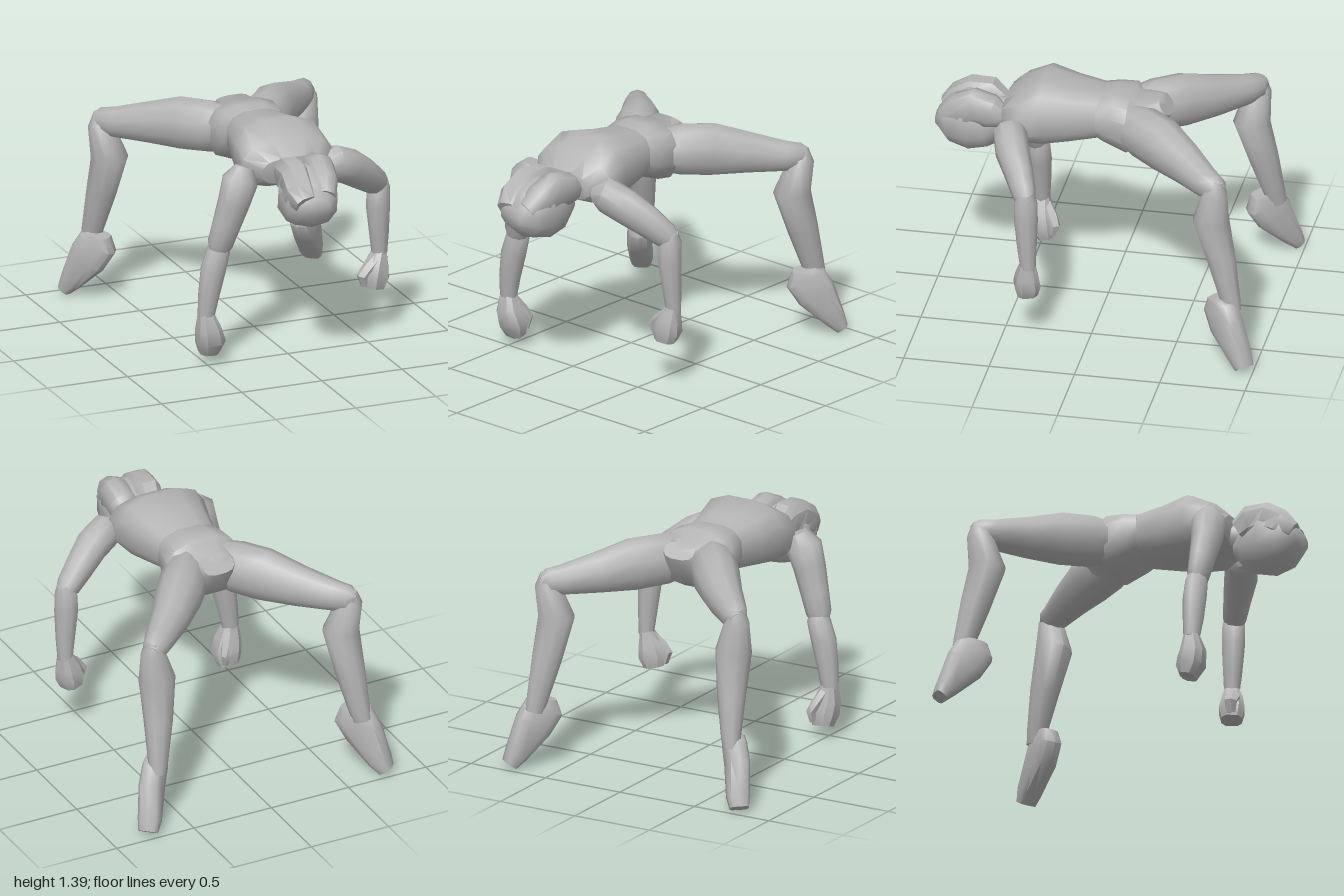
import * as THREE from 'three';
import { toCreasedNormals } from 'three/addons/utils/BufferGeometryUtils.js';

const clay = new THREE.MeshStandardMaterial({ color: 0xb4b4b4 });
clay.name = 'clay grey';

// Skin rings along a path. Each section is [x, y, z, halfWidth, halfDepth];
// side is the width direction, power below 1 makes the rings boxier.
function loft(name, sections, { side = [1, 0, 0], power = 1, sides = 10, crease = 0.95 } = {}) {
  const centres = sections.map(s => new THREE.Vector3(s[0], s[1], s[2]));
  const pos = [], index = [], last = sections.length - 1;
  const bend = v => Math.sign(v) * Math.pow(Math.abs(v), power);
  sections.forEach(([, , , w, d], i) => {
    const t = centres[Math.min(i + 1, last)].clone().sub(centres[Math.max(i - 1, 0)]).normalize();
    const a = new THREE.Vector3(...side);
    a.addScaledVector(t, -a.dot(t)).normalize();
    const b = t.clone().cross(a);
    for (let j = 0; j < sides; j++) {
      const q = (j + 0.5) / sides * Math.PI * 2;
      const p = centres[i].clone()
        .addScaledVector(a, w * bend(Math.cos(q)))
        .addScaledVector(b, d * bend(Math.sin(q)));
      pos.push(p.x, p.y, p.z);
    }
  });
  const start = pos.length / 3;
  pos.push(...centres[0].toArray(), ...centres[last].toArray());
  for (let j = 0; j < sides; j++) {
    const k = (j + 1) % sides, e = last * sides;
    for (let i = 0; i < last; i++) {
      const r = i * sides, n = r + sides;
      index.push(r + j, r + k, n + j, r + k, n + k, n + j);
    }
    index.push(start, k, j, start + 1, e + j, e + k);
  }
  const g = new THREE.BufferGeometry();
  g.setAttribute('position', new THREE.Float32BufferAttribute(pos, 3));
  g.setIndex(index);
  const mesh = new THREE.Mesh(toCreasedNormals(g, crease), clay);
  mesh.name = name;
  return mesh;
}

function leg(name, s) {
  const group = new THREE.Group();
  group.name = name;
  const m = list => list.map(([x, ...rest]) => [x * s, ...rest]);
  const side = [0.77 * s, 0, 0.64];
  group.add(
    loft('thigh', m([
      [0.1, 1.18, -0.14, 0.11, 0.13], [0.17, 1.175, -0.24, 0.14, 0.155],
      [0.28, 1.165, -0.38, 0.135, 0.16], [0.42, 1.135, -0.54, 0.112, 0.125],
      [0.57, 1.108, -0.69, 0.085, 0.092], [0.63, 1.105, -0.755, 0.07, 0.08],
      [0.66, 1.1, -0.79, 0.035, 0.045]]), { side }),
    loft('shin', m([
      [0.645, 1.16, -0.77, 0.028, 0.025], [0.64, 1.09, -0.755, 0.07, 0.073],
      [0.595, 0.89, -0.72, 0.107, 0.11], [0.62, 0.65, -0.785, 0.085, 0.09],
      [0.652, 0.4, -0.845, 0.057, 0.064], [0.66, 0.34, -0.86, 0.045, 0.055]]), { side }),
    loft('foot', m([
      [0.635, 0.405, -0.775, 0.055, 0.065], [0.64, 0.35, -0.785, 0.068, 0.12],
      [0.685, 0.25, -0.83, 0.07, 0.118], [0.745, 0.09, -0.92, 0.068, 0.065],
      [0.772, 0.03, -0.95, 0.056, 0.04]]), { side, power: 0.65 }));
  return group;
}

function arm(name, { upper, fore, palm, thumb, side }) {
  const group = new THREE.Group();
  group.name = name;
  group.add(
    loft('upperArm', upper, { side }),
    loft('forearm', fore, { side }),
    loft('palm', palm, { side, power: 0.7, sides: 8, crease: 0.7 }),
    loft('thumb', thumb, { side, sides: 6, crease: 0.7 }));
  return group;
}

export function createModel() {
  const model = new THREE.Group();
  model.name = 'bendingFigure';

  // Trunk
  model.add(
    loft('chest', [
      [0, 1.205, -0.03, 0.17, 0.12], [0, 1.205, 0.04, 0.19, 0.14],
      [0, 1.2, 0.2, 0.23, 0.167], [0, 1.21, 0.35, 0.275, 0.195],
      [0, 1.175, 0.48, 0.285, 0.155], [0, 1.16, 0.585, 0.2, 0.085]],
    { power: 0.75, sides: 12 }),
    loft('hips', [
      [0, 1.215, 0.05, 0.19, 0.13], [0, 1.205, -0.02, 0.21, 0.155],
      [0, 1.175, -0.14, 0.235, 0.18], [0, 1.2, -0.24, 0.17, 0.14],
      [0, 1.28, -0.34, 0.1, 0.055]], { power: 0.75, sides: 12 }));

  // Hanging head, with the cheek masses parted by a shallow cleft
  model.add(
    loft('neck', [
      [0, 1.16, 0.5, 0.1, 0.08], [0.01, 1.14, 0.6, 0.095, 0.085],
      [0.02, 1.12, 0.7, 0.09, 0.09]]),
    loft('skull', [
      [0.04, 1.11, 0.61, 0.09, 0.09], [0.02, 1.085, 0.69, 0.145, 0.16],
      [-0.01, 1.075, 0.8, 0.175, 0.187], [-0.025, 1.06, 0.92, 0.155, 0.14],
      [-0.035, 1.06, 0.995, 0.09, 0.055]], { power: 0.85 }),
    loft('leftCheek', [
      [0.09, 1.14, 0.6, 0.06, 0.06], [0.095, 1.175, 0.67, 0.085, 0.1],
      [0.088, 1.195, 0.76, 0.085, 0.11], [0.07, 1.15, 0.85, 0.085, 0.11],
      [0.04, 1.09, 0.93, 0.07, 0.08]], { power: 0.85 }),
    loft('rightCheek', [
      [-0.07, 1.14, 0.64, 0.07, 0.08], [-0.08, 1.18, 0.71, 0.085, 0.11],
      [-0.085, 1.18, 0.8, 0.09, 0.11], [-0.095, 1.13, 0.89, 0.09, 0.1],
      [-0.08, 1.085, 0.965, 0.07, 0.06]], { power: 0.75, sides: 8, crease: 0.7 }));

  // Left arm bent outward, right arm hanging
  model.add(
    arm('leftArm', {
      side: [0.35, 0, 1],
      upper: [[0.21, 1.13, 0.53, 0.06, 0.065], [0.28, 1.14, 0.52, 0.1, 0.105],
        [0.39, 1.09, 0.485, 0.1, 0.105], [0.51, 1.005, 0.42, 0.083, 0.095],
        [0.6, 0.935, 0.375, 0.07, 0.08], [0.64, 0.895, 0.355, 0.05, 0.055]],
      fore: [[0.64, 0.96, 0.36, 0.04, 0.035], [0.625, 0.9, 0.36, 0.068, 0.065],
        [0.622, 0.78, 0.36, 0.07, 0.07], [0.632, 0.6, 0.352, 0.057, 0.056],
        [0.637, 0.47, 0.345, 0.045, 0.044]],
      palm: [[0.638, 0.5, 0.345, 0.045, 0.035], [0.615, 0.42, 0.355, 0.065, 0.068],
        [0.6, 0.35, 0.358, 0.078, 0.083], [0.59, 0.285, 0.36, 0.062, 0.062]],
      thumb: [[0.62, 0.46, 0.365, 0.04, 0.035], [0.55, 0.405, 0.38, 0.045, 0.035],
        [0.515, 0.37, 0.38, 0.04, 0.03], [0.535, 0.31, 0.375, 0.03, 0.025]],
    }),
    arm('rightArm', {
      side: [0, 0, 1],
      upper: [[-0.28, 1.195, 0.52, 0.055, 0.055], [-0.31, 1.12, 0.53, 0.1, 0.108],
        [-0.35, 0.99, 0.53, 0.092, 0.095], [-0.395, 0.84, 0.515, 0.075, 0.085],
        [-0.425, 0.74, 0.505, 0.066, 0.078], [-0.44, 0.68, 0.5, 0.045, 0.05]],
      fore: [[-0.425, 0.76, 0.5, 0.04, 0.045], [-0.43, 0.7, 0.495, 0.064, 0.07],
        [-0.465, 0.58, 0.495, 0.068, 0.076], [-0.492, 0.43, 0.495, 0.06, 0.063],
        [-0.508, 0.3, 0.49, 0.046, 0.05]],
      palm: [[-0.508, 0.32, 0.49, 0.045, 0.045], [-0.495, 0.23, 0.495, 0.073, 0.072],
        [-0.475, 0.15, 0.48, 0.078, 0.085], [-0.48, 0.075, 0.46, 0.05, 0.06]],
      thumb: [[-0.49, 0.28, 0.47, 0.04, 0.035], [-0.455, 0.21, 0.43, 0.045, 0.035],
        [-0.435, 0.17, 0.405, 0.035, 0.03], [-0.44, 0.11, 0.42, 0.025, 0.022]],
    }),
    leg('leftLeg', 1), leg('rightLeg', -1));
  return model;
}
